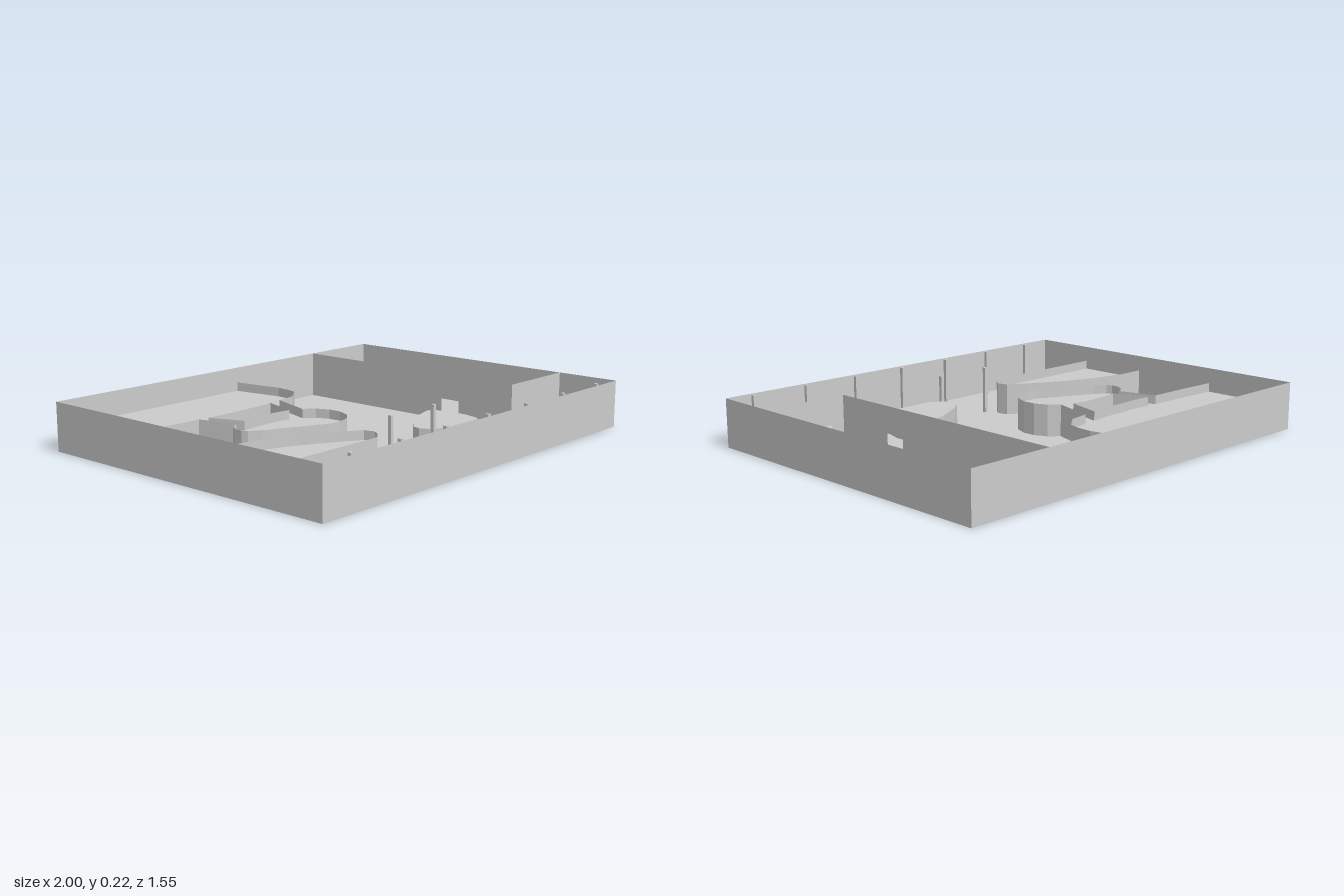
import * as THREE from 'three';

const W = 1, D = 0.773;          // half width and half depth of the enclosure
const TALL = 0.22;               // full-height walls and posts
const DECK = 0.105, RIM = 0.147; // raised floor and the top of its parapet

const material = new THREE.MeshStandardMaterial({
  color: 0xcccccc, flatShading: true, side: THREE.DoubleSide,
});

function add(parent, name, geometry) {
  const mesh = new THREE.Mesh(geometry, material);
  mesh.name = name;
  parent.add(mesh);
  return mesh;
}

const toShape = (pts) => new THREE.Shape(pts.map(([x, z]) => new THREE.Vector2(x, z)));

// Thin upright wall following a plan outline of [x, z] points
function ribbon(pts, height, closed = false) {
  const path = closed ? [...pts, pts[0]] : pts;
  const pos = [], index = [];
  path.forEach(([x, z], i) => {
    pos.push(x, 0, z, x, height, z);
    if (i > 0) {
      const a = 2 * (i - 1);
      index.push(a, a + 2, a + 3, a, a + 3, a + 1);
    }
  });
  const g = new THREE.BufferGeometry();
  g.setAttribute('position', new THREE.Float32BufferAttribute(pos, 3));
  g.setIndex(index);
  const flat = g.toNonIndexed();
  flat.computeVertexNormals();
  return flat;
}

// Level slab surface from a plan outline, optionally with a hole
function level(pts, y, hole) {
  const shape = toShape(pts);
  if (hole) shape.holes.push(toShape(hole));
  return new THREE.ShapeGeometry(shape).rotateX(Math.PI / 2).translate(0, y, 0);
}

// Full-height panel of given length with a doorway notch from d0 to d1
function doorPanel(length, d0, d1, doorHeight) {
  return new THREE.ShapeGeometry(toShape([
    [0, 0], [d0, 0], [d0, doorHeight], [d1, doorHeight], [d1, 0],
    [length, 0], [length, TALL], [0, TALL],
  ]));
}

export function createModel() {
  const model = new THREE.Group();
  model.name = 'walledFloorPlan';

  // Ground and outer walls
  const border = [[-W, -D], [W, -D], [W, D], [-W, D]];
  add(model, 'ground', level(border, 0));
  add(model, 'outerWalls', ribbon(border, TALL, true));

  // Side room, each of its two walls with a low doorway
  const room = new THREE.Group();
  room.name = 'sideRoom';
  const roomX = 0.6, roomZ = 0.47;
  const sideWall = add(room, 'roomSideWall', doorPanel(roomZ + D, 0.30, 0.40, 0.1));
  sideWall.rotation.y = Math.PI / 2;
  sideWall.position.set(roomX, 0, roomZ);
  const frontWall = add(room, 'roomFrontWall', doorPanel(W - roomX, 0.065, 0.165, 0.1));
  frontWall.position.set(roomX, 0, roomZ);
  model.add(room);

  // Raised deck: rear area, neck and rounded lookout, edged by one parapet
  const deckEdge = [
    [-1, -0.32], [-0.82, -0.31], [-0.61, -0.305], [-0.56, -0.125], [-0.6, -0.105],
    [-0.63, -0.06], [-0.632, -0.02], [-0.62, 0.005], [-0.57, 0.04], [-0.3, 0.165],
    [-0.24, 0.17], [-0.17, 0.15], [-0.12, 0.105], [-0.093, 0.04], [-0.095, -0.02],
    [-0.12, -0.08], [-0.165, -0.12], [-0.1, -0.325], [0, -0.34], [0.08, -0.405],
    [0.095, -0.46], [0.1, -0.53], [0.06, -D],
  ];
  const well = [
    [-0.56, -0.3], [-0.46, -0.295], [-0.37, -0.3], [-0.26, -0.303], [-0.17, -0.315],
    [-0.22, -0.145], [-0.3, -0.157], [-0.4, -0.152], [-0.5, -0.14],
  ];
  const deck = new THREE.Group();
  deck.name = 'raisedDeck';
  add(deck, 'deckFloor', level([...deckEdge, [-1, -D]], DECK, well));
  add(deck, 'deckParapet', ribbon(deckEdge, RIM));
  add(deck, 'wellParapet', ribbon(well, RIM, true));
  model.add(deck);

  // Raised terrace against the side wall
  const terraceEdge = [
    [-1, 0.115], [-0.87, 0.115], [-0.69, 0.155], [-0.54, 0.21], [-0.38, 0.295],
    [-0.29, 0.35], [-0.28, 0.4], [-0.3, 0.43], [-0.345, 0.47], [-1, 0.47],
  ];
  const terrace = new THREE.Group();
  terrace.name = 'sideTerrace';
  add(terrace, 'terraceFloor', level(terraceEdge, DECK));
  add(terrace, 'terraceParapet', ribbon(terraceEdge, RIM));
  model.add(terrace);

  // Free-standing island with a flat top
  const islandEdge = [
    [0.33, 0.195], [0.36, 0.22], [0.378, 0.3], [0.375, 0.38], [0.355, 0.45], [0.34, 0.47],
    [0.1, 0.47], [0.045, 0.43], [0.025, 0.39], [0.035, 0.35], [0.09, 0.305], [0.23, 0.225],
  ];
  const island = new THREE.Group();
  island.name = 'island';
  add(island, 'islandTop', level(islandEdge, DECK));
  add(island, 'islandSides', ribbon(islandEdge, DECK, true));
  model.add(island);

  // Slim posts: a row along the front wall and two further in
  const posts = new THREE.Group();
  posts.name = 'posts';
  const postGeometry = new THREE.BoxGeometry(0.016, TALL, 0.016).translate(0, TALL / 2, 0);
  const postX = (i) => 0.877 - 0.282 * i;
  const addPost = (i, z) => add(posts, 'post', postGeometry).position.set(postX(i), 0, z);
  for (let i = 0; i < 7; i++) addPost(i, 0.742);
  for (const i of [3, 4]) addPost(i, 0.46);
  model.add(posts);

  return model;
}
